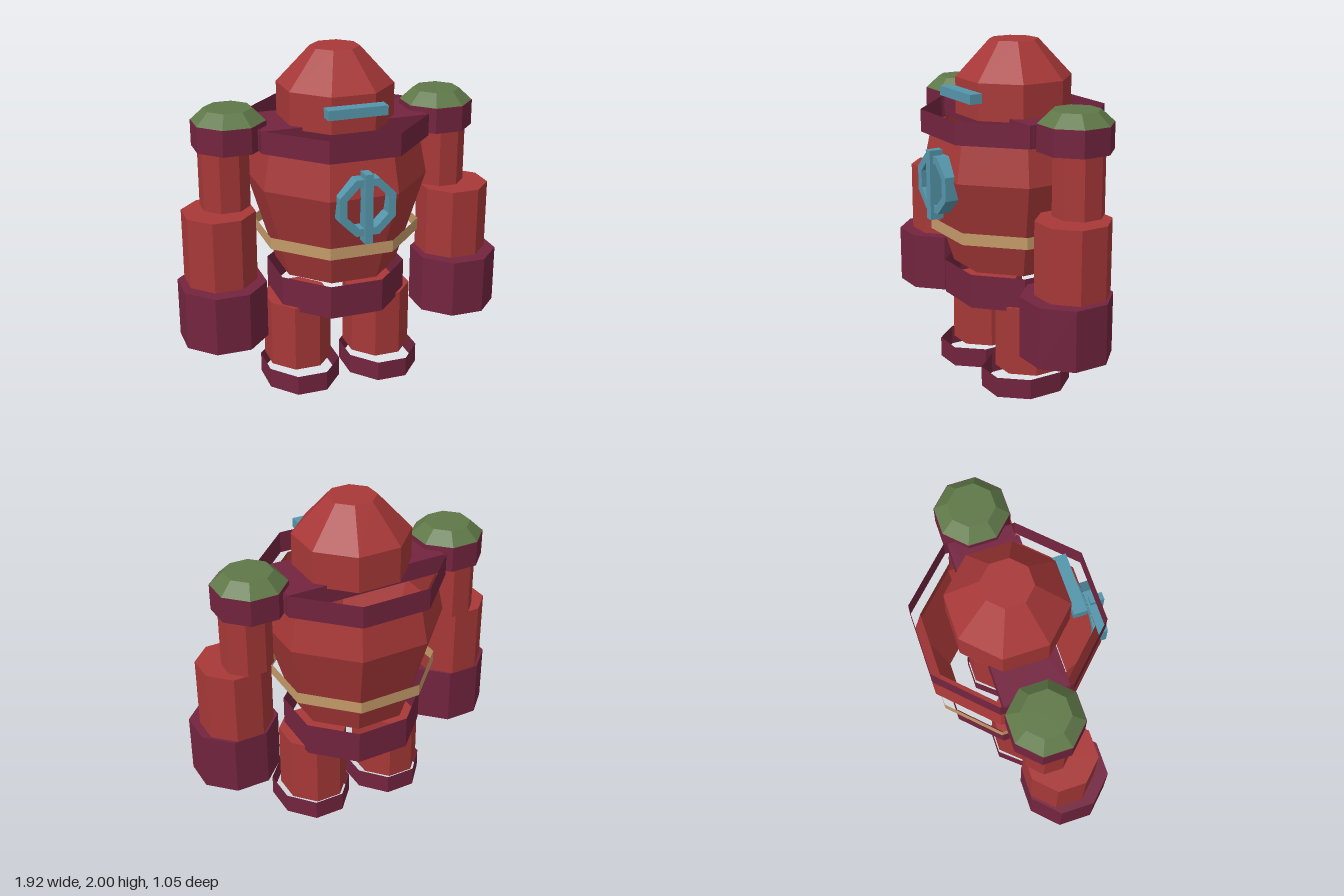
import * as THREE from 'three';

function material(name, color, open = false) {
  const m = new THREE.MeshStandardMaterial({ color, flatShading: true });
  if (open) m.side = THREE.DoubleSide;
  m.name = name;
  return m;
}

export function createModel() {
  const group = new THREE.Group();
  const red = material('red', 0xa83838, true);
  const plum = material('plum', 0x73243f, true);
  const green = material('moss green', 0x5f7848);
  const teal = material('teal', 0x5596ab);
  const tan = material('tan', 0xc49a68, true);

  function add(name, geometry, mat, x = 0, y = 0, z = 0) {
    const mesh = new THREE.Mesh(geometry, mat);
    mesh.name = name;
    mesh.position.set(x, y, z);
    group.add(mesh);
    return mesh;
  }

  // Eight-sided prism or taper, measured across its flats
  const corner = 1 / Math.cos(Math.PI / 8);
  function octagon(name, mat, x, z, y0, y1, r0, r1 = r0, open = false, depth = 1) {
    const g = new THREE.CylinderGeometry(r1 * corner, r0 * corner, y1 - y0, 8, 1, open, Math.PI / 8);
    g.scale(1, 1, depth);
    return add(name, g, mat, x, (y0 + y1) / 2, z);
  }

  function box(name, mat, x0, x1, y0, y1, z0, z1) {
    const g = new THREE.BoxGeometry(x1 - x0, y1 - y0, z1 - z0);
    return add(name, g, mat, (x0 + x1) / 2, (y0 + y1) / 2, (z0 + z1) / 2);
  }

  const cz = -0.03; // depth of the body's axis

  // Torso shell and the loose bands around it
  octagon('lowerTorso', red, 0, cz, 0.7, 1.26, 0.33, 0.488, true);
  octagon('upperTorso', red, 0, cz, 1.26, 1.5, 0.488, 0.443, true);
  octagon('collar', plum, 0, cz, 1.48, 1.61, 0.495, 0.495, true);
  octagon('belt', tan, 0, cz, 0.9, 0.97, 0.45, 0.45, true);
  octagon('hipBand', plum, 0, cz, 0.5, 0.7, 0.378, 0.378, true);
  box('shoulderBar', plum, -0.5, 0.5, 1.49, 1.6, -0.215, 0.155);

  // Head and visor
  octagon('head', red, 0, cz, 1.58, 1.79, 0.31);
  octagon('headDome', red, 0, cz, 1.79, 2, 0.31, 0.13);
  box('visor', teal, -0.173, 0.173, 1.685, 1.74, 0.28, 0.355);

  // Chest badge: octagonal ring with an upright bar
  function ringPath(path, r) {
    for (let i = 0; i < 8; i++) {
      const a = Math.PI / 8 + i * Math.PI / 4;
      const x = r * corner * Math.cos(a), y = r * corner * Math.sin(a);
      if (i) path.lineTo(x, y); else path.moveTo(x, y);
    }
    path.closePath();
    return path;
  }
  const ring = ringPath(new THREE.Shape(), 0.163);
  ring.holes.push(ringPath(new THREE.Path(), 0.12));
  add('badgeRing', new THREE.ExtrudeGeometry(ring, { depth: 0.08, bevelEnabled: false }), teal, 0, 1.225, 0.43);
  box('badgeBar', teal, -0.023, 0.023, 1.02, 1.42, 0.45, 0.53);

  // Limbs, mirrored
  for (const [side, s] of [['left', 1], ['right', -1]]) {
    octagon(side + 'ShoulderPad', plum, s * 0.627, cz, 1.48, 1.63, 0.197);
    octagon(side + 'ShoulderCap', green, s * 0.627, cz, 1.63, 1.7, 0.195, 0.125);
    octagon(side + 'UpperArm', red, s * 0.662, cz, 1.13, 1.48, 0.135);
    octagon(side + 'Forearm', red, s * 0.72, 0.04, 0.715, 1.13, 0.196);
    octagon(side + 'Hand', plum, s * 0.723, 0.08, 0.37, 0.715, 0.238);
    octagon(side + 'Leg', red, s * 0.252, 0, 0.12, 0.525, 0.184, 0.184, false, 1.1);
    octagon(side + 'FootBand', plum, s * 0.252, 0.04, 0, 0.12, 0.215, 0.215, true, 1.16);
  }

  return group;
}
